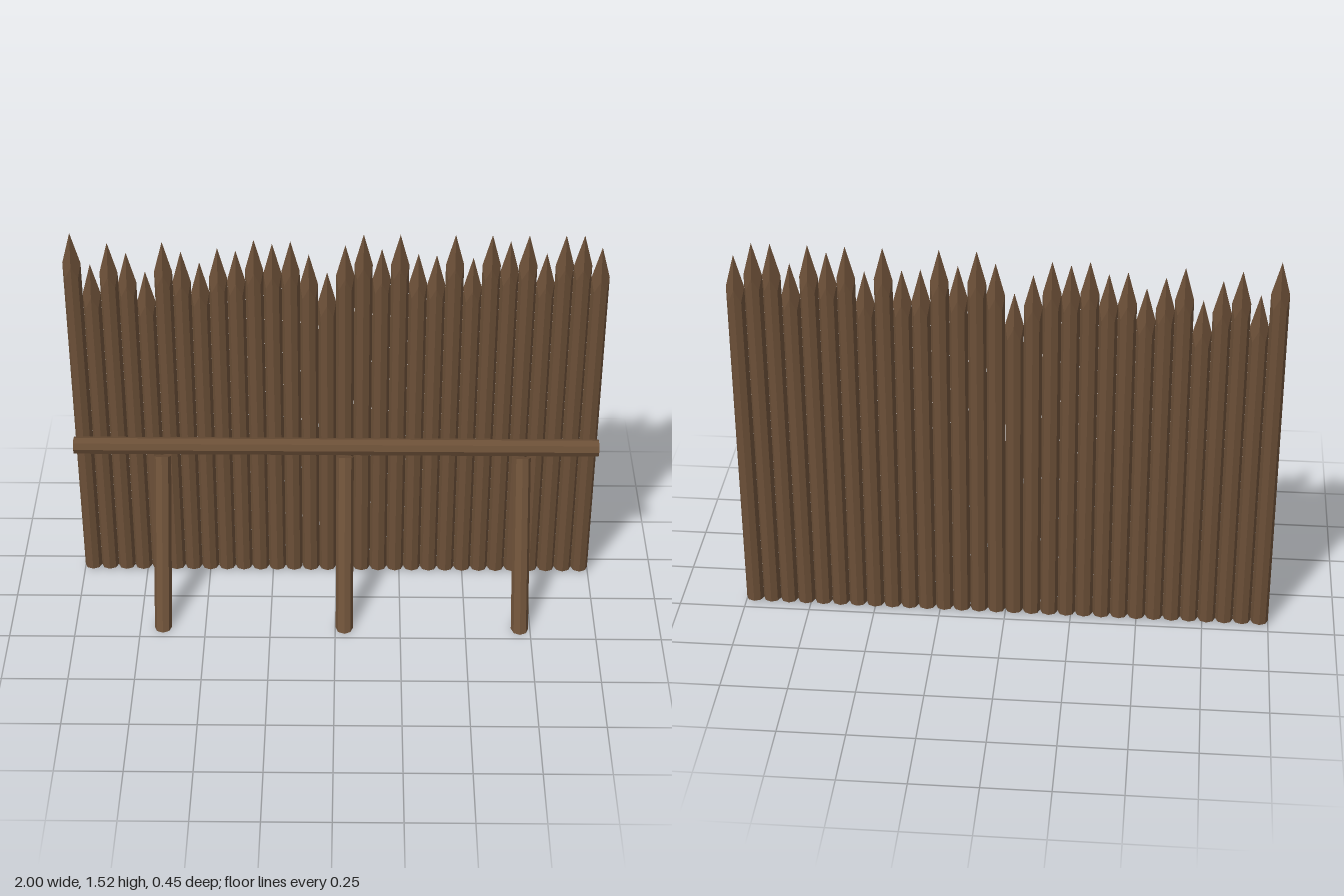
import * as THREE from 'three';

const SIDES = 8;
const R = 0.0333;

// Octagonal post with a point hewn by four diagonal cuts
function stakeGeometry(base, peak) {
  const geo = new THREE.CylinderGeometry(0, R, 1, SIDES, 2);
  const pos = geo.attributes.position;
  for (let i = 0; i < pos.count; i++) {
    const x = pos.getX(i), y = pos.getY(i), z = pos.getZ(i);
    if (y > 0.4) pos.setY(i, peak);
    else if (y < -0.4) pos.setY(i, base);
    else {
      const diagonal = Math.min(Math.abs(x), Math.abs(z)) > 0.001;
      pos.setXYZ(i, x * 2, peak - (diagonal ? 0.177 : 0.125), z * 2);
    }
  }
  return geo;
}

// Leaning post whose foot is sawn level with the ground
function braceGeometry(rise, run) {
  const length = Math.hypot(rise, run);
  const lean = -Math.atan2(run, rise);
  const geo = new THREE.CylinderGeometry(R, R, length, SIDES);
  geo.translate(0, length / 2, 0);
  const pos = geo.attributes.position;
  for (let i = 0; i < pos.count; i++) {
    if (pos.getY(i) < 0.01) pos.setY(i, pos.getZ(i) * Math.tan(lean));
  }
  return geo.rotateX(lean);
}

export function createModel() {
  const model = new THREE.Group();
  model.name = 'palisade';
  const wood = new THREE.MeshStandardMaterial({ color: 0x6b4f37, flatShading: true });
  wood.name = 'brown wood';

  const add = (name, geo, x, y, z, parent = model) => {
    const mesh = new THREE.Mesh(geo, wood);
    mesh.name = name;
    mesh.position.set(x, y, z);
    parent.add(mesh);
    return mesh;
  };

  // Row of touching stakes with uneven peaks
  const peaks = [
    1.525, 1.395, 1.485, 1.445, 1.365, 1.49, 1.45, 1.405, 1.465, 1.455,
    1.50, 1.485, 1.495, 1.44, 1.365, 1.48, 1.525, 1.465, 1.525, 1.445,
    1.44, 1.525, 1.43, 1.525, 1.50, 1.525, 1.45, 1.525, 1.525, 1.475,
  ];
  const wall = new THREE.Group();
  wall.name = 'stakeWall';
  model.add(wall);
  peaks.forEach((peak, i) => {
    add('stake', stakeGeometry(0.01, peak), -1 + (i + 0.5) * 2 / peaks.length, 0, -0.19, wall);
  });

  // Horizontal rail along the front
  const rail = new THREE.CylinderGeometry(R, R, 2, SIDES).rotateZ(Math.PI / 2);
  add('rail', rail, 0, 0.634, -0.124);

  // Slanted braces under the rail
  for (const x of [-0.663, 0.035, 0.71]) {
    add('brace', braceGeometry(0.595, 0.3), x, 0, 0.189);
  }

  return model;
}
